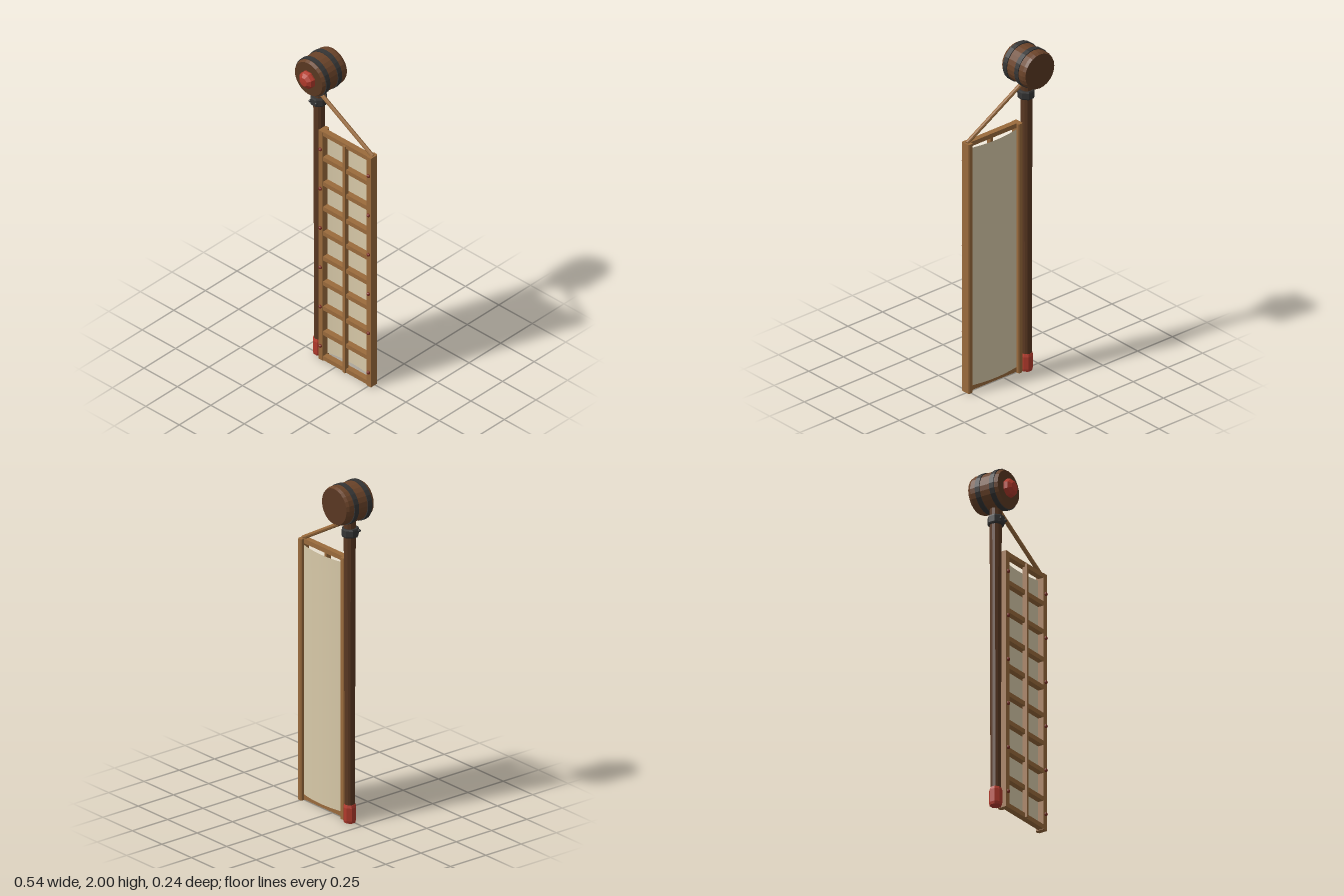
import * as THREE from 'three';

const mat = (color, extra = {}) => {
  const m = new THREE.MeshStandardMaterial({ color, ...extra });
  return m;
};

export function createModel() {
  const root = new THREE.Group();
  const darkWood = mat(0x5a3822, { flatShading: true });
  const drumWood = mat(0x6a4329, { flatShading: true });
  const wood = mat(0x9a6b3c, { flatShading: true });
  const iron = mat(0x353535, { flatShading: true });
  const red = mat(0xb23a2c, { flatShading: true });
  const rivetRed = mat(0x7c2f22, { flatShading: true });
  const cloth = mat(0xd8c9a8, { side: THREE.DoubleSide });

  const add = (name, geo, material, x = 0, y = 0, z = 0, parent = root) => {
    const m = new THREE.Mesh(geo, material);
    m.name = name;
    m.position.set(x, y, z);
    parent.add(m);
    return m;
  };
  // Lathe from [radius, height] pairs
  const lathe = (pts, sides) =>
    new THREE.LatheGeometry(pts.map(([r, y]) => new THREE.Vector2(r, y)), sides);

  const PX = -0.158, PZ = -0.01;

  // Pole with red foot and iron collar
  add('pole', lathe([[0, 0.01], [0.029, 0.01], [0.030, 0.6], [0.031, 1.14], [0.034, 1.8], [0, 1.8]], 12),
    darkWood, PX, 0, PZ);
  const foot = lathe([[0, 0.005], [0.033, 0.005], [0.037, 0.02], [0.037, 0.095], [0.031, 0.112], [0, 0.112]], 8);
  foot.rotateY(Math.PI / 8);
  add('foot', foot, red, PX, 0, PZ);
  const collar = lathe([[0, 1.685], [0.045, 1.685], [0.049, 1.693], [0.049, 1.727], [0.045, 1.736], [0, 1.736]], 8);
  collar.rotateY(Math.PI / 8);
  add('collar', collar, iron, PX, 0, PZ + 0.003);
  for (const dx of [-0.022, 0.022])
    add('collarStud', new THREE.SphereGeometry(0.009, 8, 6), iron, PX + dx, 1.71, 0.039);

  // Drum lying along z on top of the pole
  const drum = new THREE.Group();
  drum.name = 'drum';
  drum.position.set(PX, 1.886, 0);
  drum.rotation.x = Math.PI / 2;
  root.add(drum);
  add('drumBody', lathe([[0.104, -0.12], [0.111, -0.103], [0.111, 0.056], [0.103, 0.074]], 24), drumWood, 0, 0, 0, drum);
  add('drumBack', lathe([[0, -0.12], [0.104, -0.12]], 24), darkWood, 0, 0, 0, drum);
  add('drumFront', lathe([[0.103, 0.074], [0, 0.074]], 24), darkWood, 0, 0, 0, drum);
  for (const y of [-0.055, 0.039])
    add('drumBand', new THREE.CylinderGeometry(0.116, 0.116, 0.03, 24), iron, 0, y, 0, drum);
  const knob = lathe([[0.052, 0.07], [0.054, 0.082], [0.048, 0.1], [0.027, 0.116], [0, 0.118]], 8);
  knob.rotateY(Math.PI / 8);
  add('knob', knob, red, 0, 0, 0, drum);

  // Upright stiles with chamfered corners, carrying rivets
  const panel = new THREE.Group();
  panel.name = 'panel';
  root.add(panel);
  const w = 0.016, c = 0.007, z0 = -0.023, z1 = 0.034;
  const section = new THREE.Shape([
    [-w, -z1], [w, -z1], [w, -z0 - c], [w - c, -z0], [c - w, -z0], [-w, -z0 - c],
  ].map(([x, y]) => new THREE.Vector2(x, y)));
  const stile = new THREE.ExtrudeGeometry(section, { depth: 1.535, bevelEnabled: false });
  stile.rotateX(-Math.PI / 2);
  for (const x of [-0.106, 0.254]) {
    add('stile', stile, wood, x, 0.006, 0, panel);
    for (let i = 0; i < 6; i++)
      add('rivet', new THREE.SphereGeometry(0.011, 8, 6), rivetRed, x, 0.1 + i * 0.264, 0.037, panel);
  }

  // Cross rails and the central batten
  for (let i = 0; i < 10; i++)
    add('rail', new THREE.BoxGeometry(0.345, 0.027, 0.034), wood, 0.074, 0.023 + i * 0.1672, 0.014, panel);
  add('centreBatten', new THREE.BoxGeometry(0.018, 1.52, 0.03), wood, 0.074, 0.772, 0.027, panel);

  // Cloth bulging towards the back
  const sheet = new THREE.PlaneGeometry(0.334, 1.466, 16, 12);
  const p = sheet.attributes.position;
  for (let i = 0; i < p.count; i++) {
    const u = p.getX(i) / 0.167;
    p.setZ(i, -0.003 - 0.02 * (1 - u * u));
  }
  sheet.computeVertexNormals();
  add('cloth', sheet, cloth, 0.074, 0.773, 0, panel);

  // Slanting brace from the pole to the outer stile
  const a = new THREE.Vector3(-0.15, 1.776, 0.006), b = new THREE.Vector3(0.258, 1.54, 0.006);
  const brace = add('brace', new THREE.CylinderGeometry(0.012, 0.012, a.distanceTo(b), 8), wood);
  brace.position.copy(a).lerp(b, 0.5);
  brace.quaternion.setFromUnitVectors(new THREE.Vector3(0, 1, 0), b.clone().sub(a).normalize());

  return root;
}
